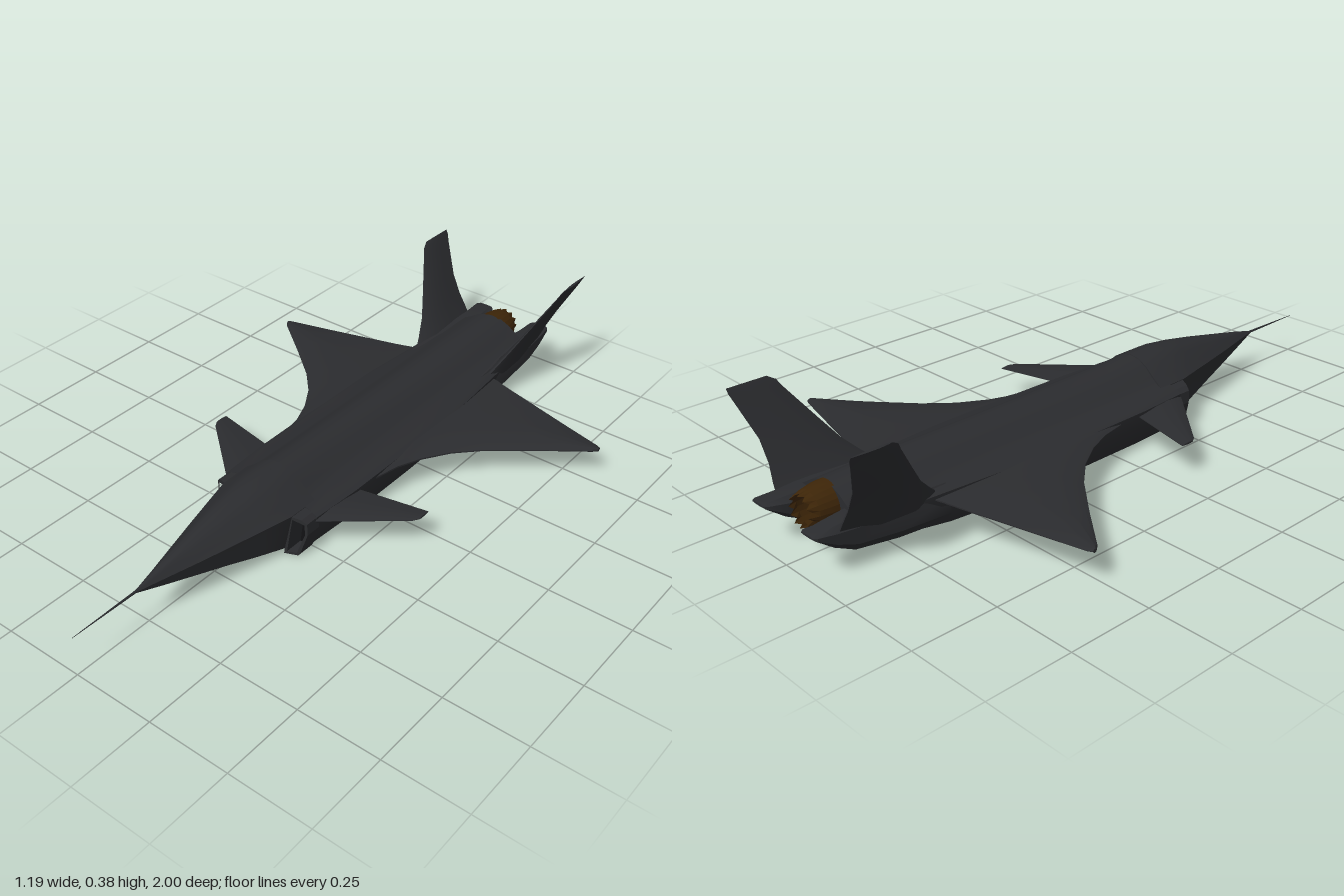
import * as THREE from 'three';
import { toCreasedNormals } from 'three/addons/utils/BufferGeometryUtils.js';

const skin = new THREE.MeshStandardMaterial({ color: 0x2b2c2f });
const dark = new THREE.MeshStandardMaterial({ color: 0x121214, side: THREE.DoubleSide });
const bronze = new THREE.MeshStandardMaterial({ color: 0x3d2508, side: THREE.DoubleSide });

// Skin a list of equal-length rings of [x, y, z], cap both ends, face outward
function loft(rings, crease = 0.6) {
  const n = rings[0].length, pos = rings.flat(), tris = [];
  for (let i = 0; i < rings.length - 1; i++)
    for (let j = 0; j < n; j++) {
      const a = i * n + j, b = i * n + (j + 1) % n;
      tris.push([a, b, a + n], [b, b + n, a + n]);
    }
  [0, rings.length - 1].forEach((r, end) => {
    const c = [0, 1, 2].map(k => rings[r].reduce((s, p) => s + p[k], 0) / n);
    pos.push(c);
    for (let j = 0; j < n; j++) {
      const a = r * n + j, b = r * n + (j + 1) % n, m = pos.length - 1;
      tris.push(end ? [a, b, m] : [b, a, m]);
    }
  });
  const v = pos.map(p => new THREE.Vector3(...p)), cross = new THREE.Vector3();
  const volume = tris.reduce((s, [a, b, c]) => s + v[a].dot(cross.crossVectors(v[b], v[c])), 0);
  if (volume < 0) tris.forEach(t => t.reverse());
  const g = new THREE.BufferGeometry();
  g.setAttribute('position', new THREE.Float32BufferAttribute(pos.flat(), 3));
  g.setIndex(tris.flat());
  return toCreasedNormals(g, crease);
}

// Mirror a half outline (top centre to bottom centre) into a full ring
const fullRing = (half, z) => [
  ...half, ...half.slice(1, -1).reverse().map(([x, y]) => [-x, y]),
].map(([x, y]) => [x, y, z]);

// Thin lens-shaped ring for a wing or fin
function foil(x, y, lead, trail, thick, n) {
  const steps = [[0, 0.15], [0.08, 0.55], [0.3, 1], [0.6, 0.85], [1, 0.12]];
  const side = s => steps.map(([f, t]) => {
    const h = s * t * thick / 2;
    return [x + n[0] * h, y + n[1] * h, lead + (trail - lead) * f];
  });
  return [...side(1), ...side(-1).reverse()];
}

const flip = (rings, s) => rings.map(r => r.map(([x, y, z]) => [s * x, y, z]));

export function createModel() {
  const model = new THREE.Group();
  const add = (name, geometry, material = skin) => {
    const mesh = new THREE.Mesh(geometry, material);
    mesh.name = name;
    model.add(mesh);
    return mesh;
  };

  // Nose with blended canopy: z, half width, top, chine height, bottom
  const nose = [
    [0.79, 0.002, 0.132, 0.13, 0.128], [0.7, 0.025, 0.152, 0.131, 0.104],
    [0.6, 0.052, 0.171, 0.133, 0.08], [0.5, 0.078, 0.19, 0.136, 0.056],
    [0.4, 0.103, 0.206, 0.139, 0.029], [0.32, 0.123, 0.214, 0.141, 0.01],
    [0.22, 0.125, 0.212, 0.141, 0.008],
  ].map(([z, w, top, mid, low]) => {
    const up = f => mid + (top - mid) * f, dn = f => low + (mid - low) * f;
    return fullRing([[0, top], [w * 0.25, up(0.94)], [w * 0.5, up(0.7)], [w * 0.78, up(0.28)],
      [w, mid], [w * 0.97, dn(0.85)], [w * 0.84, dn(0.12)], [w * 0.7, low], [0, low]], z);
  });
  add('nose', loft(nose));

  // Main fuselage: z, half width, spine top, bottom
  const hull = [
    [0.26, 0.165, 0.213, 0.007], [0.1, 0.174, 0.205, 0.006], [-0.2, 0.176, 0.199, 0.006],
    [-0.4, 0.172, 0.197, 0.007], [-0.58, 0.158, 0.196, 0.013], [-0.72, 0.147, 0.195, 0.03],
    [-0.87, 0.135, 0.19, 0.055],
  ].map(([z, w, top, low]) => {
    const dn = f => low + (0.13 - low) * f, sp = f => 0.14 + (top - 0.14) * f;
    return fullRing([[0, top], [0.03, sp(0.93)], [0.06, sp(0.68)], [0.085, sp(0.35)],
      [0.11, sp(0.08)], [w * 0.9, 0.134], [w, 0.124], [w * 0.98, dn(0.6)], [w * 0.86, dn(0.1)],
      [w * 0.78, low], [0, low]], z);
  });
  add('fuselage', loft(hull));

  // Nose probe
  const probe = add('probe', new THREE.CylinderGeometry(0.0006, 0.004, 0.23, 10));
  probe.rotation.x = Math.PI / 2;
  probe.position.set(0, 0.13, 0.885);

  for (const s of [1, -1]) {
    const side = s > 0 ? 'left' : 'right';

    // Air intake: hollow lip with swept front edge
    const path = pts => pts.map(([x, y]) => new THREE.Vector2(s * x, y));
    const lip = new THREE.Shape(path([[0.1, 0.008], [0.138, 0.008], [0.145, 0.022], [0.164, 0.085],
      [0.163, 0.122], [0.148, 0.134], [0.115, 0.141]]));
    lip.holes.push(new THREE.Path(path([[0.108, 0.016], [0.134, 0.016], [0.157, 0.085],
      [0.156, 0.118], [0.124, 0.13]])));
    const duct = new THREE.ExtrudeGeometry(lip, { depth: 0.07, bevelEnabled: false });
    const p = duct.attributes.position;
    for (let i = 0; i < p.count; i++)
      p.setZ(i, p.getZ(i) > 0.03 ? 0.325 - (Math.abs(p.getX(i)) - 0.1) * 0.4 : 0.25);
    duct.computeVertexNormals();
    add(side + 'Intake', duct);
    const back = new THREE.Shape(path([[0.105, 0.014], [0.136, 0.014], [0.158, 0.085], [0.156, 0.12], [0.122, 0.132]]));
    add(side + 'IntakeDuct', new THREE.ShapeGeometry(back), dark).position.z = 0.263;

    // Canard
    add(side + 'Canard', loft(flip([
      [0.1, 0.112, 0.315, 0.085, 0.026], [0.18, 0.112, 0.25, 0.074, 0.022],
      [0.365, 0.108, 0.092, 0.034, 0.009], [0.376, 0.108, 0.075, 0.032, 0.006],
    ].map(a => foil(...a, [0, 1])), s)));

    // Main wing with curved leading root
    add(side + 'Wing', loft(flip([
      [0.12, 0.112, 0.04, -0.657, 0.038], [0.175, 0.112, 0.0, -0.642, 0.034],
      [0.19, 0.111, -0.08, -0.638, 0.033], [0.22, 0.11, -0.155, -0.63, 0.031],
      [0.27, 0.109, -0.235, -0.618, 0.028], [0.34, 0.108, -0.31, -0.6, 0.025],
      [0.46, 0.106, -0.408, -0.57, 0.02], [0.585, 0.105, -0.505, -0.539, 0.014],
      [0.597, 0.105, -0.52, -0.533, 0.011],
    ].map(a => foil(...a, [0, 1])), s)));

    // Canted tail fin
    add(side + 'TailFin', loft(flip([
      [0.13, 0.115, -0.62, -0.93, 0.046], [0.148, 0.15, -0.66, -0.928, 0.034],
      [0.17, 0.195, -0.705, -0.922, 0.025], [0.2, 0.255, -0.748, -0.925, 0.019],
      [0.248, 0.35, -0.815, -0.957, 0.011], [0.258, 0.372, -0.828, -0.965, 0.009],
      [0.265, 0.385, -0.85, -0.966, 0.007],
    ].map(a => foil(...a, [0.89, -0.45])), s)));

    // Tail boom beside the nozzle: z, inner x, outer x, bottom, top
    add(side + 'TailBoom', loft(flip([
      [-0.6, 0.06, 0.152, 0.03, 0.138], [-0.75, 0.055, 0.147, 0.036, 0.143],
      [-0.88, 0.06, 0.145, 0.055, 0.145], [-0.94, 0.067, 0.143, 0.085, 0.142],
      [-0.99, 0.075, 0.14, 0.122, 0.139], [-1, 0.084, 0.132, 0.131, 0.137],
    ].map(([z, a, b, low, top]) => {
      const d = (top - low) * 0.25, e = (b - a) * 0.2;
      return [[a + e, low], [b - e, low], [b, low + d], [b, top - d], [b - e, top],
        [a + e, top], [a, top - d], [a, low + d]].map(q => [...q, z]);
    }), s)));
  }

  // Engine nozzle with serrated petals
  const nozzle = new THREE.CylinderGeometry(0.044, 0.06, 0.09, 24, 3, true);
  const q = nozzle.attributes.position;
  for (let i = 0; i < q.count; i++) {
    const row = Math.floor(i / 25);
    if (row === 0 && i % 2) q.setY(i, q.getY(i) - 0.014);
    if (row === 1 || row === 2) {
      q.setX(i, q.getX(i) * 1.07);
      q.setZ(i, q.getZ(i) * 1.07);
    }
  }
  nozzle.rotateX(-Math.PI / 2);
  const petals = add('nozzle', toCreasedNormals(nozzle, 0.2), bronze);
  petals.position.set(0, 0.134, -0.908);
  const core = add('nozzleCore', new THREE.CircleGeometry(0.057, 24), dark);
  core.rotation.y = Math.PI;
  core.position.set(0, 0.134, -0.875);

  return model;
}
